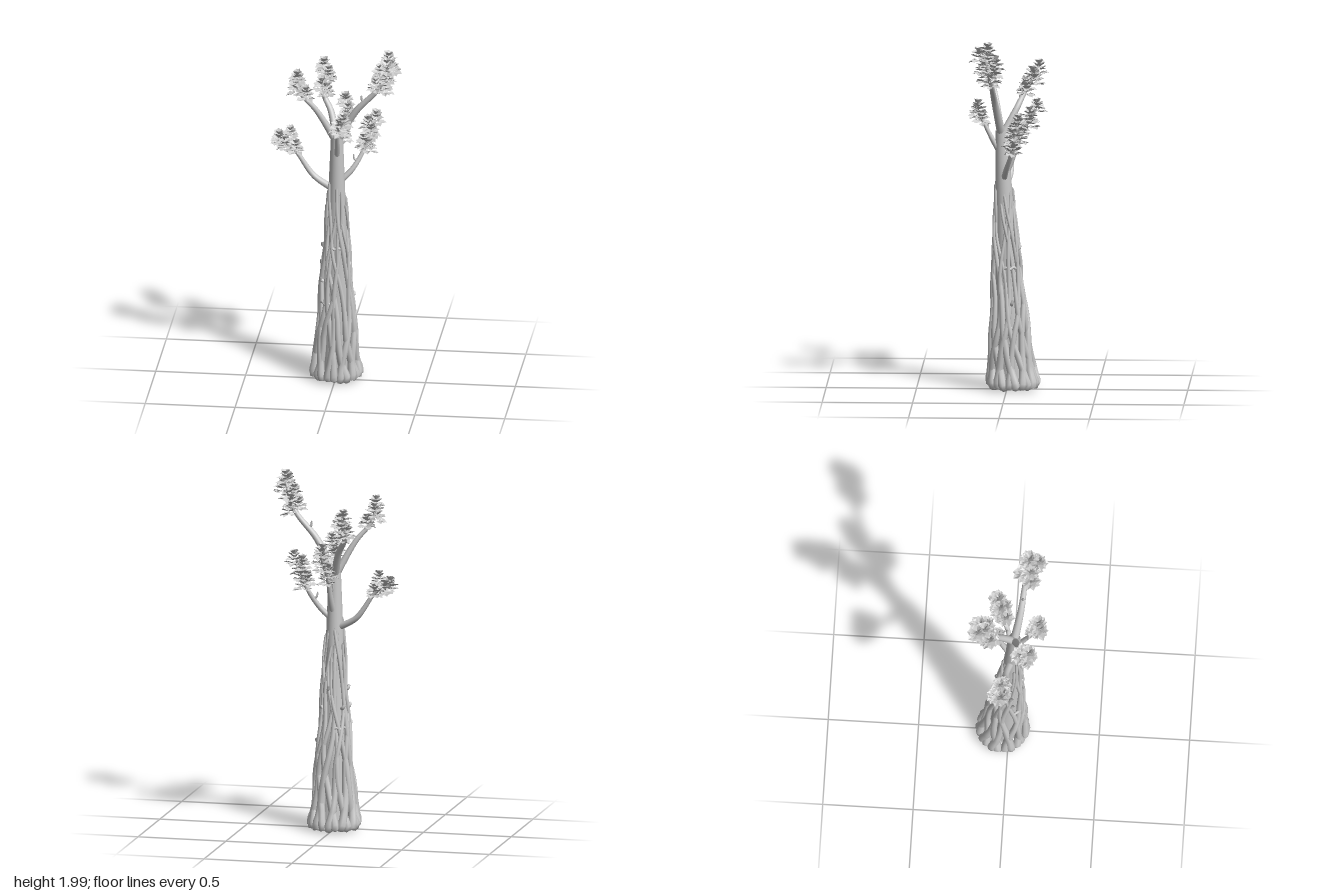
import * as THREE from 'three';
import { mergeGeometries } from 'three/addons/utils/BufferGeometryUtils.js';

const bark = new THREE.MeshStandardMaterial({ color: 0xcccccc });
const leafMat = new THREE.MeshStandardMaterial({ color: 0xcccccc, flatShading: true, side: THREE.DoubleSide });
const { lerp } = THREE.MathUtils;
const vec = (x, y, z) => new THREE.Vector3(x, y, z);

let seed = 7;
function rand(a, b) {
  seed = (seed * 16807) % 2147483647;
  return lerp(a, b, seed / 2147483647);
}

function mesh(name, geometry, parent, material = bark) {
  const m = new THREE.Mesh(geometry, material);
  m.name = name;
  parent.add(m);
}

function group(name, parent) {
  const g = new THREE.Group();
  g.name = name;
  parent.add(g);
  return g;
}

// Tube along a smooth path with radius given by a function of t; the ends close.
function taperTube(points, radius, segments, sides = 8) {
  const curve = new THREE.CatmullRomCurve3(points);
  const g = new THREE.TubeGeometry(curve, segments, 1, sides, false);
  const pos = g.attributes.position, v = new THREE.Vector3();
  for (let i = 0; i <= segments; i++) {
    const c = curve.getPointAt(i / segments);
    const r = i === 0 || i === segments ? 0.0005 : radius(i / segments);
    for (let j = 0; j <= sides; j++) {
      const k = i * (sides + 1) + j;
      v.fromBufferAttribute(pos, k).sub(c).multiplyScalar(r).add(c);
      pos.setXYZ(k, v.x, v.y, v.z);
    }
  }
  return g;
}

// Trunk centre by height, and the flared envelope the vines climb on.
const centre = y => vec(0.008 * y, y, -0.04 + 0.07 * Math.min(1, y / 1.46) ** 0.75);
function onTrunk(angle, y, offset = 0) {
  const r = 0.044 + 0.082 * Math.max(0, 1 - y / 1.25) ** 1.25 + offset;
  return centre(y).add(vec(r * Math.sin(angle), 0, r * Math.cos(angle)));
}

// One vine: a rounded root foot, then a wavering spiral up the trunk.
function vine(angle, twist, top, r0) {
  const pts = [onTrunk(angle, 0.05, -0.045), onTrunk(angle, 0.036, 0)];
  const phase = rand(0, 6.28), n = 11;
  for (let i = 1; i <= n; i++) {
    const t = i / n;
    const a = angle + twist * t + 0.16 * Math.sin(phase + t * 9) * Math.min(1, t * 3);
    pts.push(onTrunk(a, lerp(0.036, top, t), 0.005 * Math.sin(phase + t * 14)));
  }
  return taperTube(pts, t => r0 * (t < 0.08 ? 1 : 0.33 + 0.67 * (1 - t) ** 1.8), 64);
}

// A folded, pointed leaf lying along +x.
function leafGeometry(length, width) {
  const g = new THREE.BufferGeometry();
  const s = length * 0.62, h = width / 2, lift = width * 0.2;
  g.setAttribute('position', new THREE.Float32BufferAttribute([
    0, 0, 0, s, lift, h, length, 0, 0,
    0, 0, 0, length, 0, 0, s, lift, -h], 3));
  g.computeVertexNormals();
  return g;
}

// Cupped rosette: outer leaves spread flat, inner leaves stand up.
function rosette(centrePoint, size) {
  const leaves = [];
  for (let tier = 0; tier < 4; tier++) {
    const count = 9 - tier;
    for (let i = 0; i < count; i++) {
      const g = leafGeometry(size * (1 - tier * 0.12) * rand(0.85, 1.1), size * rand(0.65, 0.85));
      g.translate(size * 0.14, 0, 0);
      g.rotateX(rand(-0.3, 0.3));
      g.rotateZ(-0.1 + tier * 0.33 + rand(-0.15, 0.2));
      g.rotateY((i / count) * Math.PI * 2 + tier * 0.6 + rand(-0.2, 0.2));
      g.translate(centrePoint.x, centrePoint.y + (tier - 1.5) * size * 0.28, centrePoint.z);
      leaves.push(g);
    }
  }
  return mergeGeometries(leaves);
}

// A limb from base through bend; rosettes wind around its end, from low to high.
function addBranch(model, name, r, base, bend, low, high, count, spread) {
  const branch = group(name, model);
  mesh('limb', taperTube([base, bend, low, high], t => r * (1 - 0.65 * t), 28, 10), branch);
  const tufts = [];
  for (let i = 0; i < count; i++) {
    const a = i * 2.4;
    const p = low.clone().lerp(high, i / (count - 1));
    tufts.push(rosette(p.add(vec(spread * Math.cos(a), 0, spread * Math.sin(a))), 0.05));
  }
  mesh('leaves', mergeGeometries(tufts), branch, leafMat);
  // Short side twig just below the leaves
  const foot = bend.clone().lerp(low, 0.4);
  const tip = foot.clone().add(vec(-0.02, 0.04, 0));
  mesh('twig', taperTube([foot, foot.clone().add(vec(-0.016, 0.012, 0)), tip], t => r * (0.4 - 0.2 * t), 8), branch);
}

export function createModel() {
  const model = new THREE.Group();
  model.name = 'vineWrappedTree';
  seed = 7;

  // Core trunk
  const spine = [];
  for (let i = 0; i <= 8; i++) spine.push(centre(lerp(0.045, 1.475, i / 8)));
  mesh('trunk', taperTube(spine, t => 0.09 - 0.057 * t, 72, 20), model);

  // Interlaced vines, alternating winding directions
  const vines = group('vines', model);
  const count = 22;
  for (let i = 0; i < count; i++) {
    const twist = (i % 2 ? 1 : -1) * rand(0.8, 1.7);
    const top = i % 3 === 0 ? rand(1.1, 1.2) : rand(0.9, 1.08);
    mesh('vine', vine((i / count) * Math.PI * 2, twist, top, rand(0.023, 0.028)), vines);
  }

  // Short cross vines and broken twig stubs
  for (let i = 0; i < 5; i++) {
    const a = -0.55 + i * 1.9, y = 0.8 - i * 0.11, pts = [];
    for (let j = 0; j < 5; j++) pts.push(onTrunk(a + j * 0.25, y + (j % 2) * 0.01, 0.002));
    mesh('crossVine', taperTube(pts, () => 0.008, 14), vines);
  }
  for (let i = 0; i < 6; i++) {
    const a = -1.5 + (i > 2 ? i * 1.1 : i * 0.1), y = 0.79 - (i % 4) * 0.1;
    const pts = [onTrunk(a, y, -0.01), onTrunk(a, y + 0.01, 0.008), onTrunk(a + 0.1, y + 0.03, 0.014)];
    mesh('twigStub', taperTube(pts, t => 0.011 - 0.003 * t, 8), vines);
  }

  // Crown: three upper limbs, then four lower ones
  addBranch(model, 'upperRightBranch', 0.024, centre(1.43), vec(0.12, 1.62, 0.06),
    vec(0.25, 1.77, 0.08), vec(0.32, 1.945, 0.12), 8, 0.03);
  addBranch(model, 'upperLeftBranch', 0.022, centre(1.42), vec(-0.1, 1.62, 0.065),
    vec(-0.18, 1.72, 0.09), vec(-0.215, 1.82, 0.1), 4, 0.024);
  addBranch(model, 'upperBackBranch', 0.024, centre(1.42), vec(-0.03, 1.57, -0.05),
    vec(-0.08, 1.67, -0.1), vec(-0.065, 1.79, -0.17), 5, 0.02);
  addBranch(model, 'frontBranch', 0.018, centre(1.31), vec(0.02, 1.41, 0.08),
    vec(0.03, 1.53, 0.14), vec(0.06, 1.59, 0.17), 3, 0.015);
  addBranch(model, 'lowerRightBranch', 0.018, centre(1.17), vec(0.09, 1.25, 0),
    vec(0.16, 1.375, -0.04), vec(0.2, 1.53, -0.065), 6, 0.018);
  addBranch(model, 'lowerLeftBranch', 0.021, centre(1.13), vec(-0.12, 1.2, -0.015),
    vec(-0.24, 1.36, -0.02), vec(-0.33, 1.4, -0.05), 4, 0.015);
  addBranch(model, 'backBranch', 0.02, centre(1.18), vec(0.02, 1.3, -0.03),
    vec(0.025, 1.42, -0.07), vec(0.05, 1.59, -0.165), 5, 0.015);
  // Raised side tuft on the lower left limb
  mesh('sideTuft', rosette(vec(-0.255, 1.435, -0.035), 0.045), model, leafMat);
  return model;
}
